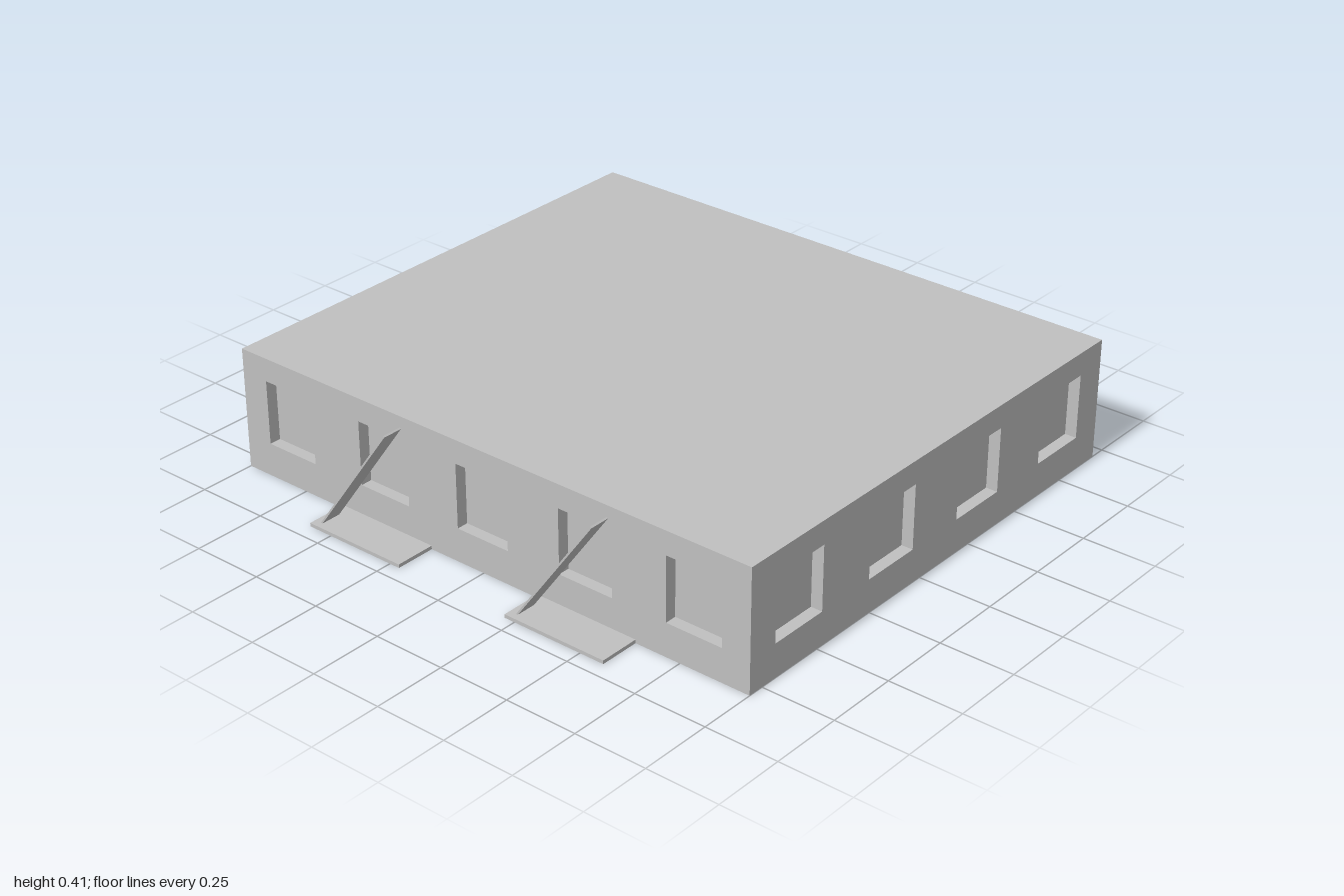
import * as THREE from 'three';

export function createModel() {
  const group = new THREE.Group();
  const grey = new THREE.MeshStandardMaterial({ color: 0xc0c0c0 });
  grey.name = 'light grey';

  const W = 2, D = 1.75, H = 0.415;      // block size
  const midZ = -0.07;                    // block centre in z
  const sill = 0.115, winH = 0.22, recess = 0.04;

  function add(parent, name, geometry, x = 0, y = 0, z = 0) {
    const mesh = new THREE.Mesh(geometry, grey);
    mesh.name = name;
    mesh.position.set(x, y, z);
    parent.add(mesh);
    return mesh;
  }

  // Inward-facing box without its front: window reveal and pane
  function recessGeometry(w) {
    const g = new THREE.BoxGeometry(w, winH, recess);
    const index = Array.from(g.index.array).filter((_, i) => i < 24 || i >= 30);
    g.setIndex(index.reverse());
    g.clearGroups();
    g.computeVertexNormals();
    return g;
  }

  // Wall facing local +z with a row of recessed windows
  function wall(name, length, centres, winW, x, z, turn) {
    const part = new THREE.Group();
    part.name = name;
    const face = new THREE.Shape();
    face.moveTo(-length / 2, 0).lineTo(length / 2, 0);
    face.lineTo(length / 2, H).lineTo(-length / 2, H).closePath();
    for (const c of centres) {
      const hole = new THREE.Path();
      const l = c - winW / 2, r = c + winW / 2, t = sill + winH;
      hole.moveTo(l, sill).lineTo(l, t).lineTo(r, t).lineTo(r, sill).closePath();
      face.holes.push(hole);
      add(part, 'windowRecess', recessGeometry(winW), c, sill + winH / 2, -recess / 2);
    }
    add(part, 'wallFace', new THREE.ShapeGeometry(face));
    part.position.set(x, 0, z);
    part.rotation.y = turn;
    group.add(part);
  }

  const longRow = [-0.8, -0.4, 0, 0.4, 0.8];
  const sideRow = [-1.5, -0.5, 0.5, 1.5].map((k) => k * D / 4);
  wall('frontWall', W, longRow, 0.2, 0, midZ + D / 2, 0);
  wall('backWall', W, longRow, 0.2, 0, midZ - D / 2, Math.PI);
  wall('leftWall', D, sideRow, 0.215, W / 2, midZ, Math.PI / 2);
  wall('rightWall', D, sideRow, 0.215, -W / 2, midZ, -Math.PI / 2);

  // Flat roof and floor
  add(group, 'roof', new THREE.PlaneGeometry(W, D), 0, H, midZ).rotation.x = -Math.PI / 2;
  add(group, 'floor', new THREE.PlaneGeometry(W, D), 0, 0, midZ).rotation.x = Math.PI / 2;

  // Two entrance slabs, each carrying a thin leaning board
  for (const x of [-0.4, 0.4]) {
    const entrance = new THREE.Group();
    entrance.name = 'entrance';
    entrance.position.x = x;
    add(entrance, 'slab', new THREE.BoxGeometry(0.375, 0.012, 0.14), 0, 0.006, 0.875);
    const run = 0.288, rise = H - 0.014;
    const board = add(entrance, 'leaningBoard',
      new THREE.BoxGeometry(Math.hypot(run, rise), 0.006, 0.07), -0.016, 0.012 + rise / 2, 0.888);
    board.rotation.z = Math.atan2(rise, run);
    group.add(entrance);
  }

  return group;
}
